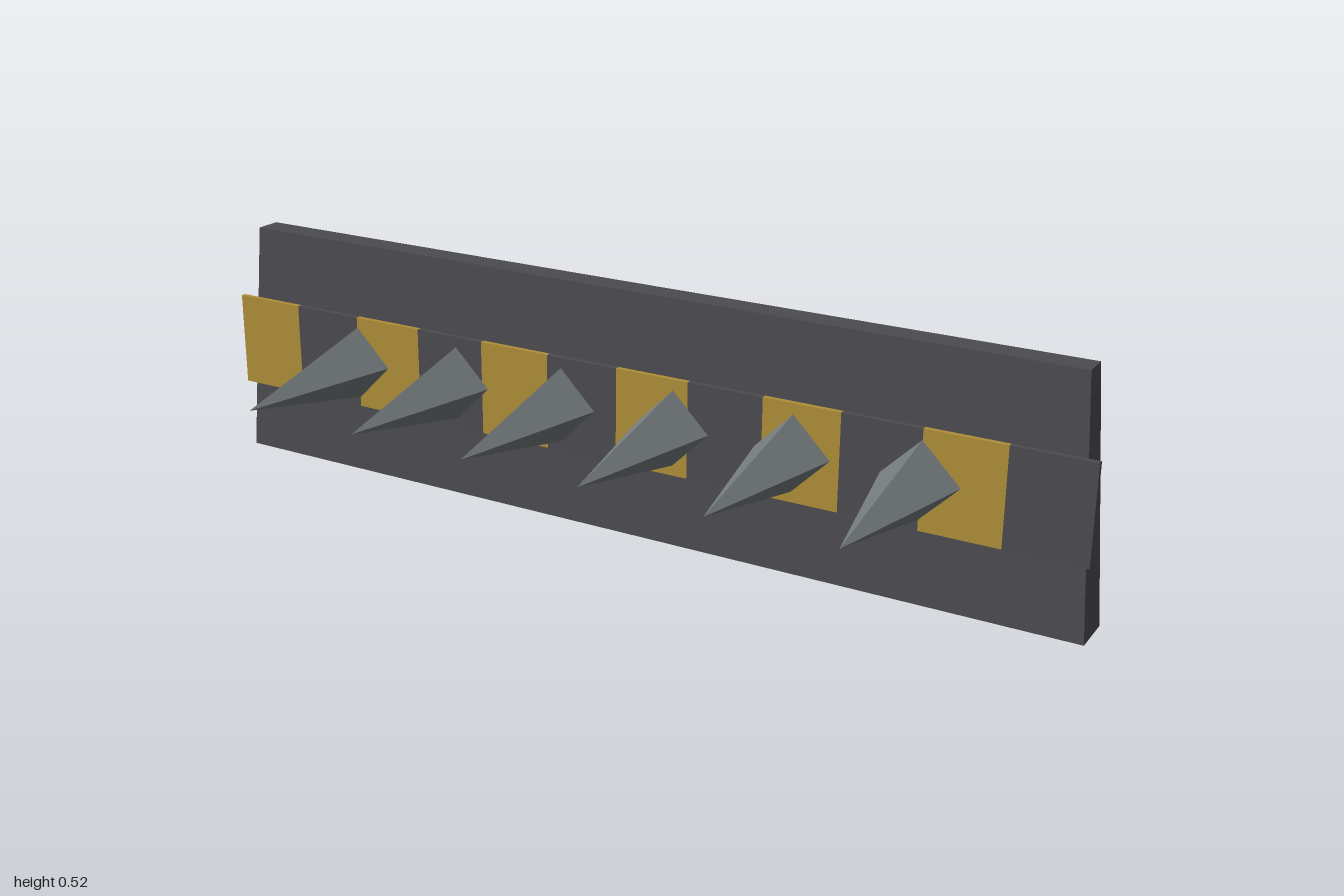
import * as THREE from 'three';

const material = (name, color) => {
  const m = new THREE.MeshStandardMaterial({ color, flatShading: true });
  m.name = name;
  return m;
};

export function createModel() {
  const model = new THREE.Group();
  model.name = 'spikedBarrier';
  const charcoal = material('charcoal', 0x4c4b50);
  const ochre = material('ochre', 0xb08f38);
  const steel = material('steel', 0x777e81);
  const rust = material('rust', 0x8a4f2d);

  const add = (name, geometry, mat, x, y, z) => {
    const mesh = new THREE.Mesh(geometry, mat);
    mesh.name = name;
    mesh.position.set(x, y, z);
    model.add(mesh);
    return mesh;
  };

  // Main board, narrowing towards the top in width and thickness
  const board = new THREE.BoxGeometry(2, 0.525, 0.094);
  const p = board.attributes.position;
  for (let i = 0; i < p.count; i++) {
    if (p.getY(i) > 0) {
      p.setX(i, p.getX(i) * 0.96);
      p.setZ(i, p.getZ(i) * 0.6);
    }
  }
  board.computeVertexNormals();
  add('board', board, charcoal, 0, 0.2625, -0.068);

  // Warning band of alternating panels across the front
  const panels = 12;
  const panelWidth = 2 / panels;
  const panel = new THREE.BoxGeometry(panelWidth, 0.207, 0.011);
  for (let i = 0; i < panels; i++) {
    const x = -1 + (i + 0.5) * panelWidth;
    add('bandPanel' + (i + 1), panel, i % 2 ? charcoal : ochre, x, 0.2635, -0.0143);
  }

  // Row of four-sided spikes
  const spikeLength = 0.388;
  const spike = new THREE.ConeGeometry(0.087, spikeLength, 4).rotateX(Math.PI / 2);
  for (let i = 0; i < 6; i++) {
    add('spike' + (i + 1), spike, steel, (i - 2.5) * 0.2663, 0.263, 0.353 - spikeLength / 2);
  }

  // Two five-sided rear pegs, leaning inwards
  const pegLength = 0.26;
  const peg = new THREE.CylinderGeometry(0.0525, 0.0525, pegLength, 5)
    .rotateY(Math.PI / 2)
    .rotateX(Math.PI / 2)
    .translate(0, 0, -pegLength / 2);
  for (const [name, side] of [['leftPeg', 1], ['rightPeg', -1]]) {
    add(name, peg, rust, side * 0.577, 0.145, -0.098).rotation.y = side * 0.38;
  }

  return model;
}
